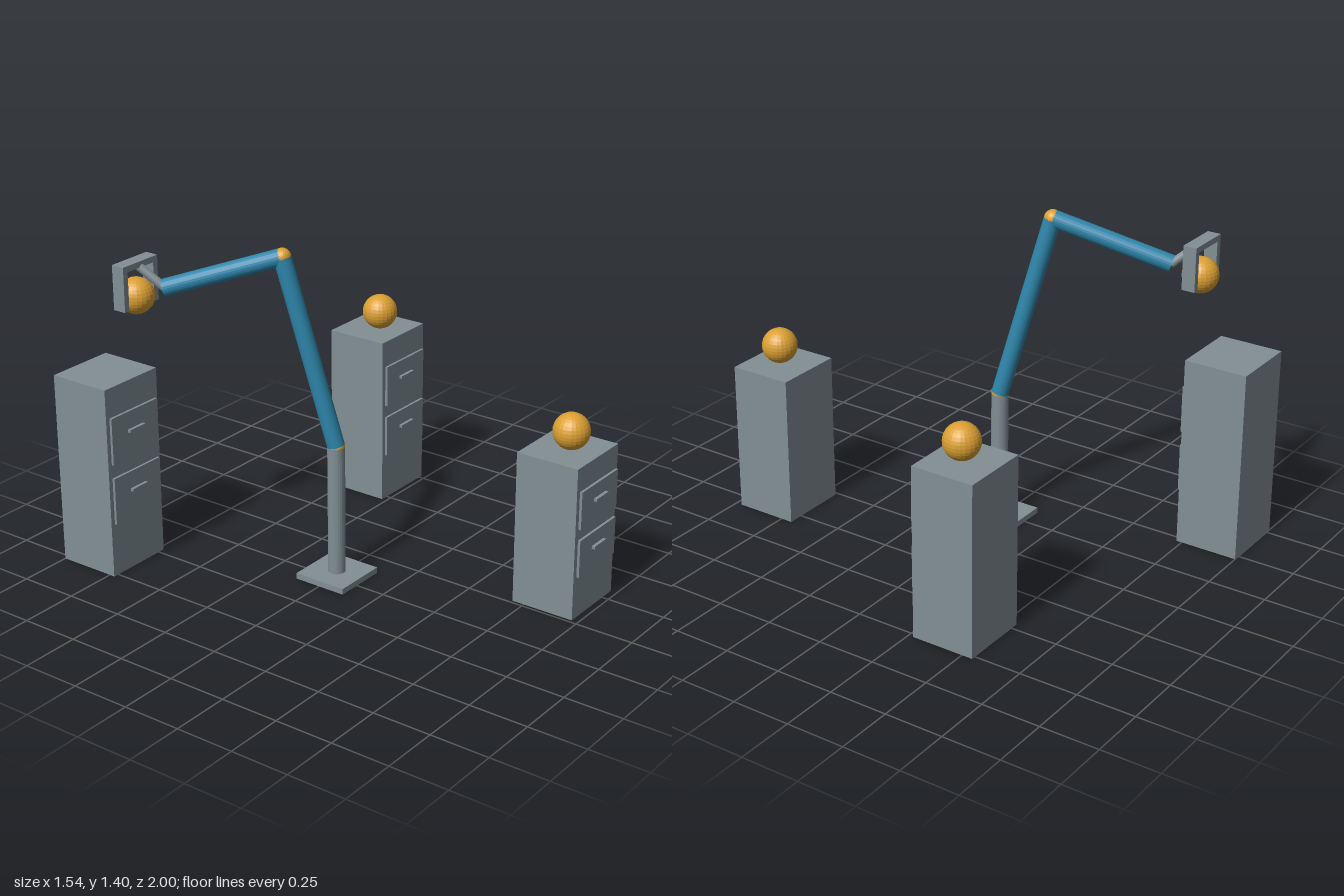
import * as THREE from 'three';

const grey = new THREE.MeshStandardMaterial({ name: 'steel grey', color: 0x828f94, flatShading: true });
const blue = new THREE.MeshStandardMaterial({ name: 'arm blue', color: 0x2e86ab, flatShading: true });
const gold = new THREE.MeshStandardMaterial({ name: 'gold', color: 0xdba032, flatShading: true });

function add(parent, name, geometry, material, x, y, z) {
  const mesh = new THREE.Mesh(geometry, material);
  mesh.name = name;
  mesh.position.set(x, y, z);
  parent.add(mesh);
  return mesh;
}

function box(parent, name, w, h, d, x, y, z) {
  return add(parent, name, new THREE.BoxGeometry(w, h, d), grey, x, y, z);
}

function ball(parent, name, r, x, y, z) {
  return add(parent, name, new THREE.SphereGeometry(r, 24, 16), gold, x, y, z);
}

// Cylinder running from point a to point b
function rod(parent, name, a, b, r, material) {
  const dir = b.clone().sub(a);
  const mid = a.clone().add(b).multiplyScalar(0.5);
  const mesh = add(parent, name, new THREE.CylinderGeometry(r, r, dir.length(), 24), material, mid.x, mid.y, mid.z);
  mesh.quaternion.setFromUnitVectors(new THREE.Vector3(0, 1, 0), dir.normalize());
  return mesh;
}

// Two-drawer cabinet; drawer layout scales with the height
function cabinet(name, x, z, h) {
  const group = new THREE.Group();
  group.name = name;
  group.position.set(x, 0, z);
  const depth = 0.275, front = depth / 2;
  box(group, 'cabinetBody', 0.303, h, depth, 0, h / 2, 0);
  for (const [label, centre, grip] of [['upper', 0.725, 0.748], ['lower', 0.406, 0.432]]) {
    box(group, label + 'Drawer', 0.27, 0.246 * h, 0.011, 0, centre * h, front + 0.0085);
    box(group, label + 'Handle', 0.088, 0.012, 0.014, 0, grip * h, front + 0.021);
  }
  return group;
}

export function createModel() {
  const model = new THREE.Group();
  model.name = 'robotArmStation';

  // Cabinets, two of them with a ball on top
  model.add(cabinet('backCabinet', -0.622, -0.8625, 0.822));
  for (const [name, x, z, h] of [['frontCabinet', 0.166, 0.8345, 0.65], ['sideCabinet', 0.617, -0.41, 0.735]]) {
    const group = cabinet(name, x, z, h);
    ball(group, 'ball', 0.075, 0, h + 0.076, 0.014);
    model.add(group);
  }

  // Arm: base, post, two blue links and their joints
  const arm = new THREE.Group();
  arm.name = 'robotArm';
  model.add(arm);
  const foot = new THREE.Vector3(-0.229, 0, 0.003);
  const shoulder = new THREE.Vector3(-0.229, 0.58, 0.003);
  const elbow = new THREE.Vector3(-0.317, 1.36, -0.185);
  const wrist = new THREE.Vector3(-0.515, 1.2, -0.62);
  const grip = new THREE.Vector3(-0.566, 1.295, -0.725);
  box(arm, 'basePlate', 0.235, 0.025, 0.235, foot.x, 0.0125, foot.z);
  rod(arm, 'post', foot, shoulder, 0.036, grey);
  rod(arm, 'upperArm', shoulder, elbow, 0.036, blue);
  rod(arm, 'forearm', elbow, wrist, 0.036, blue);
  ball(arm, 'shoulderJoint', 0.0362, shoulder.x, shoulder.y, shoulder.z);
  ball(arm, 'elbowJoint', 0.0362, elbow.x, elbow.y, elbow.z);

  // Gripper holding a ball
  const gripper = new THREE.Group();
  gripper.name = 'gripper';
  arm.add(gripper);
  rod(gripper, 'wristRod', wrist, grip, 0.018, grey);
  box(gripper, 'crossbar', 0.198, 0.025, 0.058, grip.x, 1.295, grip.z);
  for (const side of [-1, 1]) {
    box(gripper, side > 0 ? 'leftFinger' : 'rightFinger', 0.025, 0.162, 0.058, grip.x + side * 0.0865, 1.202, grip.z);
  }
  ball(gripper, 'heldBall', 0.075, grip.x, 1.16, grip.z);

  return model;
}
